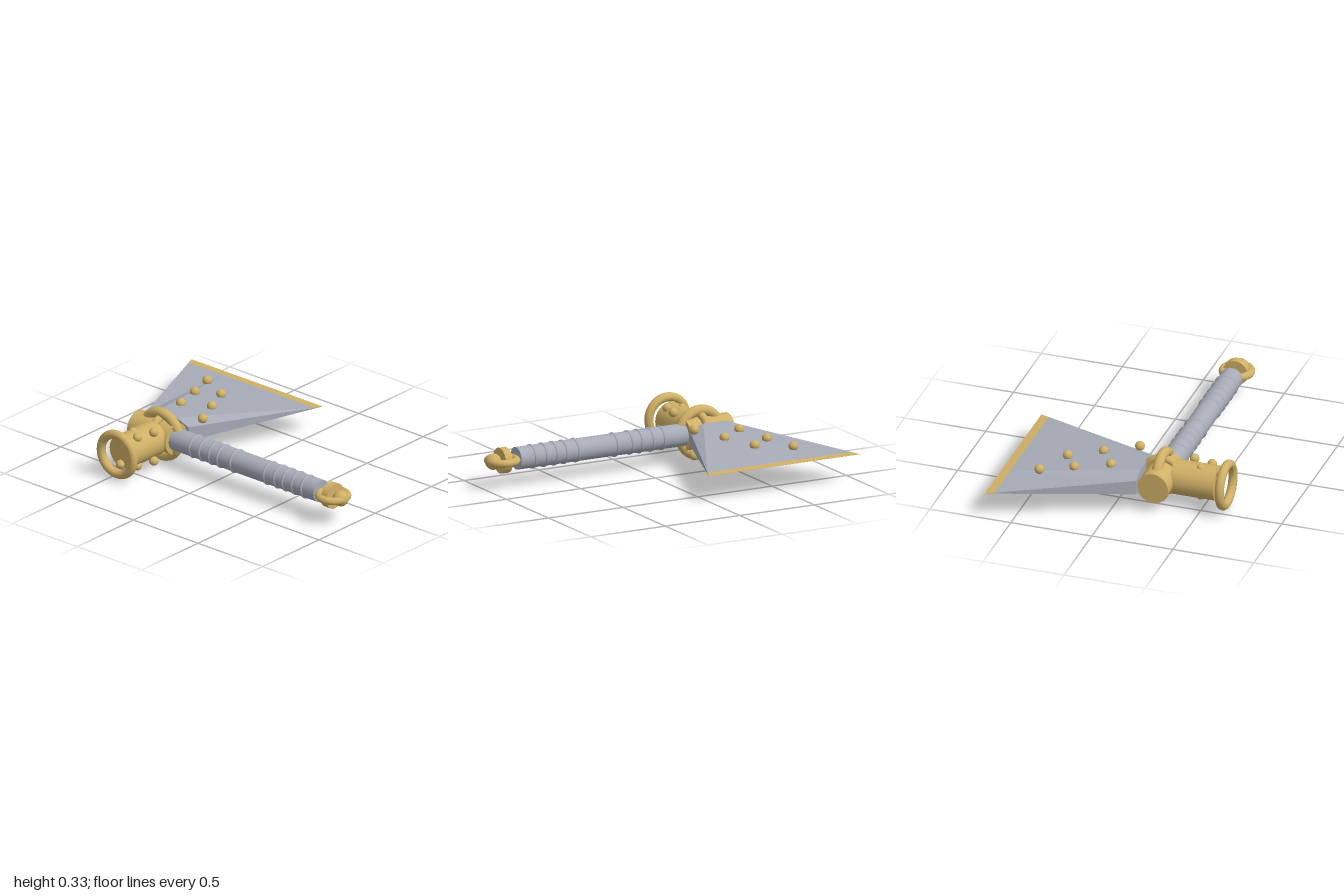
import * as THREE from 'three';

const CY = 0.168;   // height of the weapon's mid plane
const HX = -0.246;  // x of the handle axis
const HZ = -0.438;  // z of the head's centre

export function createModel() {
  const group = new THREE.Group();
  const gold = new THREE.MeshStandardMaterial({ color: 0xd0b066 });
  gold.name = 'gold';
  const steel = new THREE.MeshStandardMaterial({ color: 0xa6abb7 });
  steel.name = 'steel';

  const add = (name, geometry, material, x, y, z, rx = 0, ry = 0, rz = 0) => {
    const mesh = new THREE.Mesh(geometry, material);
    mesh.name = name;
    mesh.position.set(x, y, z);
    mesh.rotation.set(rx, ry, rz);
    group.add(mesh);
    return mesh;
  };
  const cyl = (r, h) => new THREE.CylinderGeometry(r, r, h, 32);
  const ring = (outer, tube) => new THREE.TorusGeometry(outer - tube, tube, 16, 48);
  const ball = r => new THREE.SphereGeometry(r, 20, 14);
  const Q = Math.PI / 2;

  // Handle with two groups of grip rings
  add('handle', cyl(0.067, 1.14), steel, HX, CY, 0.225, Q);
  for (const z of [-0.17, -0.095, -0.02, 0.045, 0.145, 0.405, 0.485, 0.55, 0.62, 0.695]) {
    add('gripRing', ring(0.073, 0.011), steel, HX, CY, z);
  }

  // Pommel: flat ring, disc and ball
  add('pommelRing', ring(0.107, 0.023), gold, HX, CY, 0.888, Q);
  add('pommelDisc', cyl(0.077, 0.046), gold, HX, CY, 0.882, Q);
  add('pommelBall', ball(0.048), gold, HX, CY, 0.948);

  // Head collar with two crossing rings
  add('headCollar', cyl(0.095, 0.298), gold, HX, CY, -0.476, Q);
  add('headRingUpright', ring(0.165, 0.031), gold, HX, CY, HZ, 0, Q);
  add('headRingCross', ring(0.13, 0.024), gold, HX, CY, HZ);

  // Rear hammer socket and its end ring
  add('socket', cyl(0.104, 0.27), gold, -0.455, CY, HZ, 0, 0, Q);
  add('endRing', ring(0.151, 0.027), gold, -0.637, CY, HZ - 0.004, 0, Q);

  // Blade: eight-sided sections, wide and thin towards the cutting edge
  const outline = [[-1, 0.5], [-0.45, 0.88], [0.45, 0.88], [1, 0.5],
    [1, -0.5], [0.45, -0.88], [-0.45, -0.88], [-1, -0.5]];
  const section = x => {
    const t = (x + 0.15) / 0.811;
    const zMid = THREE.MathUtils.lerp(-0.481, -0.492, t);
    const halfWidth = THREE.MathUtils.lerp(0.164, 0.508, t);
    const halfThick = 0.088 * (1 - t) + 0.001;
    return outline.map(([a, b]) => [x, CY + b * halfThick, zMid + a * halfWidth]);
  };
  const loft = (x0, x1) => {
    const A = section(x0), B = section(x1), v = [], n = A.length;
    const tri = (...p) => p.forEach(q => v.push(...q));
    for (let i = 0; i < n; i++) {
      const j = (i + 1) % n;
      tri(A[i], A[j], B[j]);
      tri(A[i], B[j], B[i]);
    }
    for (let i = 1; i < n - 1; i++) {
      tri(A[0], A[i + 1], A[i]);
      tri(B[0], B[i], B[i + 1]);
    }
    const g = new THREE.BufferGeometry();
    g.setAttribute('position', new THREE.Float32BufferAttribute(v, 3));
    g.computeVertexNormals();
    return g;
  };
  add('blade', loft(-0.15, 0.607), steel, 0, 0, 0);
  add('cuttingEdge', loft(0.607, 0.661), gold, 0, 0, 0);

  // Studs, mirrored above and below the mid plane
  const bladeStuds = [[-0.053, -0.29], [0.04, -0.54], [0.138, -0.386],
    [0.243, -0.61], [0.328, -0.48], [0.434, -0.68]];
  for (const side of [1, -1]) {
    for (const [x, z] of bladeStuds) {
      add('bladeStud', ball(0.029), gold, x, CY + side * (0.077 - 0.08 * (x + 0.053)), z);
    }
    add('socketStud', ball(0.028), gold, -0.53, CY + side * 0.09, -0.38);
    add('socketStud', ball(0.028), gold, -0.413, CY + side * 0.092, -0.355);
    add('socketStud', ball(0.024), gold, -0.485, CY + side * 0.092, -0.455);
    add('ringMount', ball(0.027), gold, -0.598, CY + side * 0.08, -0.452);
  }
  return group;
}
